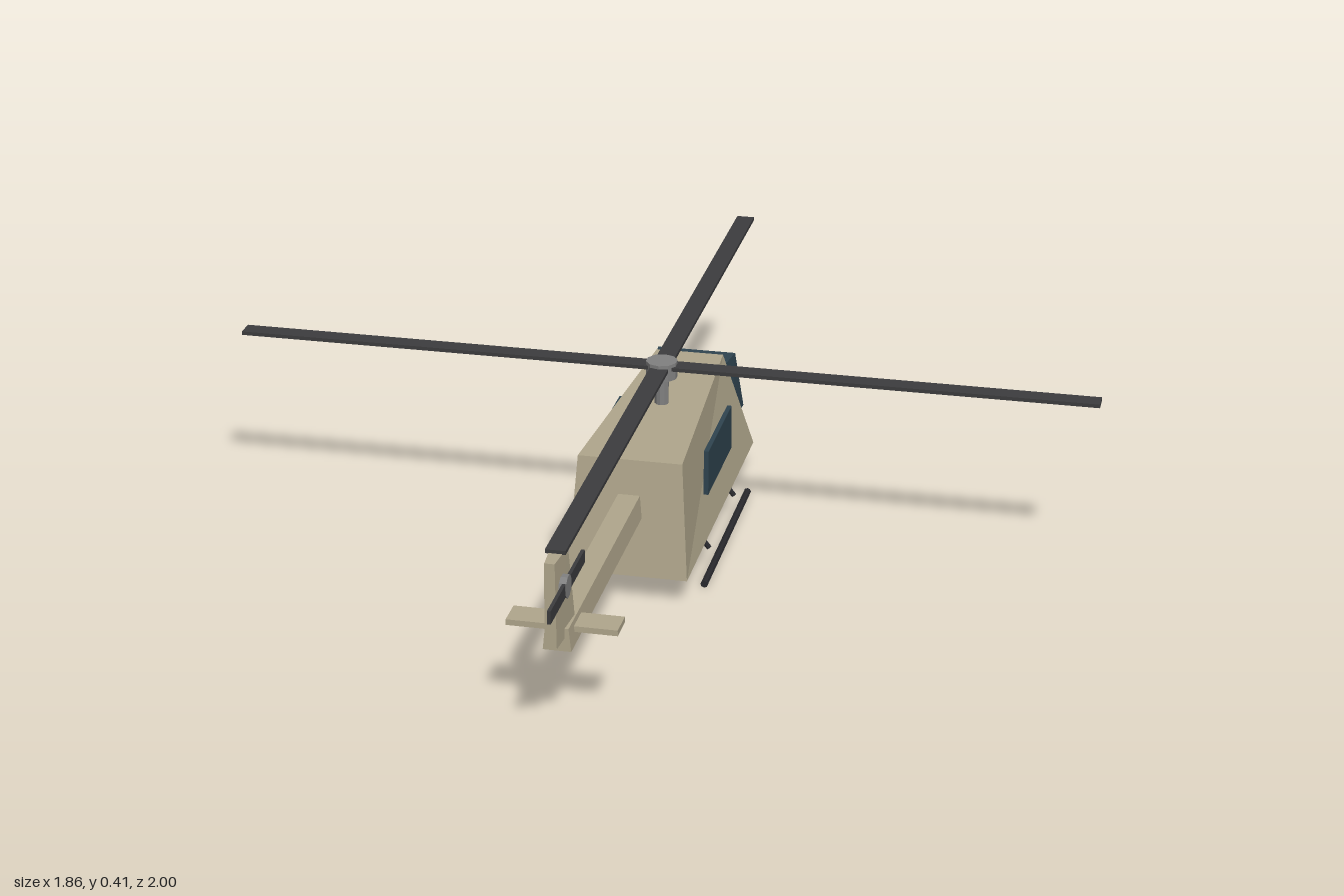
import * as THREE from 'three';

const paint = (color) => new THREE.MeshStandardMaterial({ color, flatShading: true });

export function createModel() {
  const model = new THREE.Group();
  const body = paint(0xb0a68c);
  const glass = paint(0x2f4450);
  const dark = paint(0x3c3c3e);
  const black = paint(0x28282c);
  const metal = paint(0x808080);

  const add = (name, geometry, material, x = 0, y = 0, z = 0) => {
    const mesh = new THREE.Mesh(geometry, material);
    mesh.name = name;
    mesh.position.set(x, y, z);
    model.add(mesh);
    return mesh;
  };

  // Six-sided block; each level is { y, front: [z, halfWidth], back: [z, halfWidth] }
  const block = (bottom, top) => {
    const g = new THREE.BoxGeometry(2, 2, 2);
    const p = g.attributes.position;
    for (let i = 0; i < p.count; i++) {
      const level = p.getY(i) > 0 ? top : bottom;
      const [z, half] = p.getZ(i) > 0 ? level.back : level.front;
      p.setXYZ(i, Math.sign(p.getX(i)) * half, level.y, z);
    }
    g.computeVertexNormals();
    return g;
  };

  // Cabin, nose towards -z
  add('cabin', block(
    { y: 0.06, front: [-0.46, 0.127], back: [0.265, 0.127] },
    { y: 0.31, front: [-0.36, 0.075], back: [0.235, 0.11] }), body);
  add('windshield', block(
    { y: 0.143, front: [-0.476, 0.1], back: [-0.37, 0.095] },
    { y: 0.286, front: [-0.433, 0.088], back: [-0.33, 0.075] }), glass);

  // Tail
  add('tailBoom', block(
    { y: 0.187, front: [0.2, 0.028], back: [0.857, 0.028] },
    { y: 0.235, front: [0.2, 0.023], back: [0.857, 0.023] }), body);
  add('tailFin', block(
    { y: 0.215, front: [0.79, 0.02], back: [0.905, 0.012] },
    { y: 0.393, front: [0.825, 0.016], back: [0.905, 0.01] }), body);
  add('stabilizer', new THREE.BoxGeometry(0.22, 0.012, 0.06), body, 0, 0.217, 0.79);

  // Tail rotor on the left of the fin
  add('tailRotorHub', new THREE.CylinderGeometry(0.023, 0.023, 0.015, 10), metal, 0.019, 0.33, 0.865)
    .rotation.z = Math.PI / 2;
  add('tailRotorBlade', new THREE.BoxGeometry(0.007, 0.027, 0.267), dark, 0.022, 0.33, 0.866);

  // Main rotor
  const rotorZ = -0.07;
  add('rotorMast', new THREE.CylinderGeometry(0.015, 0.015, 0.09, 10), metal, 0, 0.34, rotorZ);
  add('rotorHub', new THREE.CylinderGeometry(0.034, 0.034, 0.037, 10), metal, 0, 0.389, rotorZ);
  for (const turn of [0, Math.PI / 2]) {
    add('rotorBlade', new THREE.BoxGeometry(1.86, 0.008, 0.04), dark, 0, 0.396, rotorZ).rotation.y = turn;
  }

  // Side windows and landing gear
  for (const side of [-1, 1]) {
    add('sideWindow', new THREE.BoxGeometry(0.01, 0.1, 0.25), glass, side * 0.12, 0.205, -0.085);
    add('skid', new THREE.CylinderGeometry(0.008, 0.008, 0.475, 8), black, side * 0.144, 0.009, -0.068)
      .rotation.x = Math.PI / 2;
    for (const z of [0.065, -0.205]) {
      add('skidStrut', new THREE.CylinderGeometry(0.006, 0.006, 0.036, 8), black, side * 0.122, 0.058, z)
        .rotation.z = side * 0.65;
    }
  }
  return model;
}
